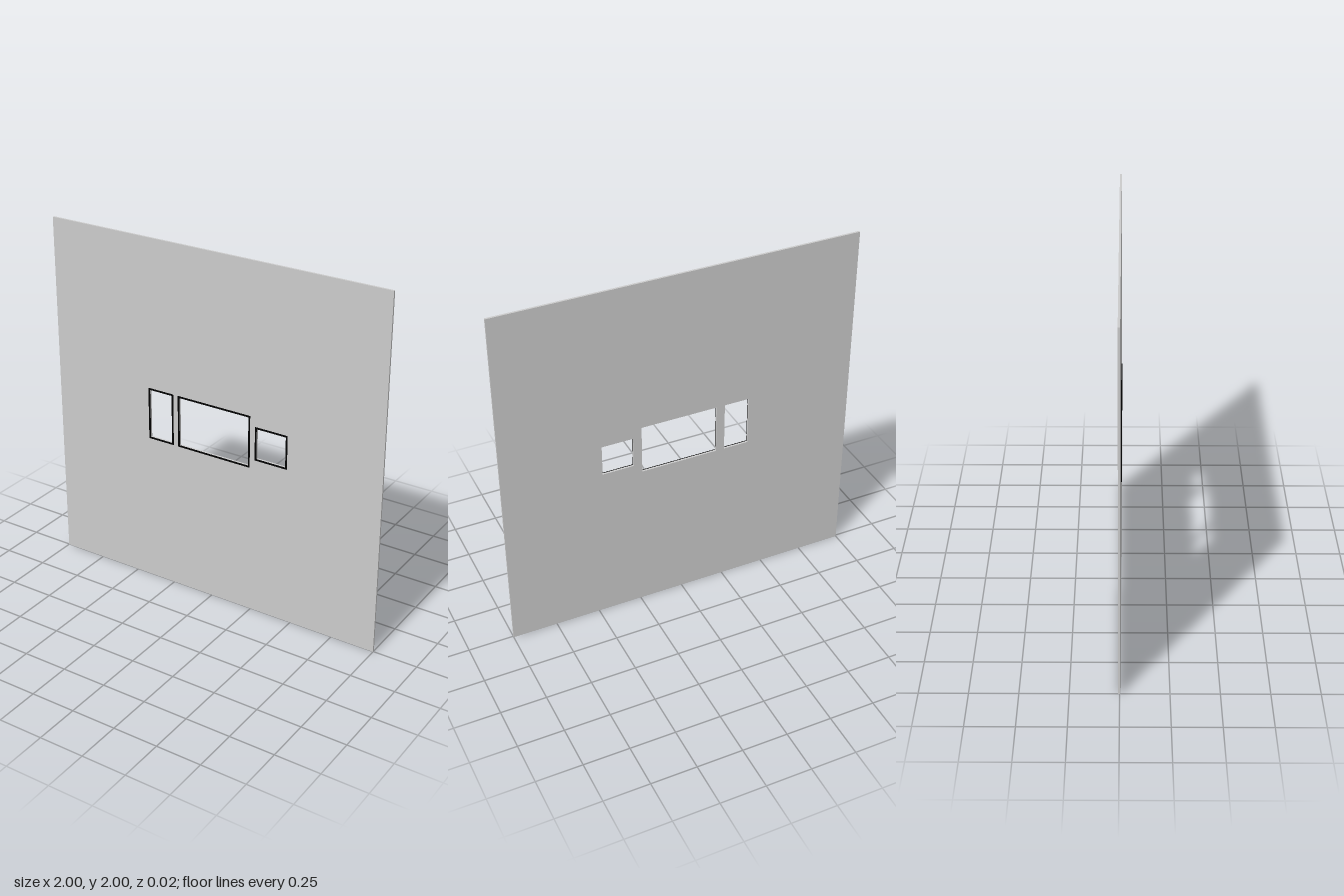
import * as THREE from 'three';

const PANEL = { back: -0.008, front: 0.003 };
const TRIM_FRONT = 0.008;
const TRIM_WIDTH = 0.008;

// Outer extents of each window trim
const WINDOWS = [
  { name: 'rightWindowTrim', x0: -0.4, x1: -0.243, y0: 0.864, y1: 1.16 },
  { name: 'middleWindowTrim', x0: -0.212, x1: 0.234, y0: 0.864, y1: 1.16 },
  { name: 'leftWindowTrim', x0: 0.266, x1: 0.457, y0: 0.916, y1: 1.106 },
];

function trace(path, { x0, x1, y0, y1 }, inset = 0) {
  path.moveTo(x0 + inset, y0 + inset);
  path.lineTo(x1 - inset, y0 + inset);
  path.lineTo(x1 - inset, y1 - inset);
  path.lineTo(x0 + inset, y1 - inset);
  path.closePath();
  return path;
}

// Rectangular slab between two z planes, with rectangular openings
function slab(name, outline, openings, zBack, zFront, material) {
  const shape = trace(new THREE.Shape(), outline);
  for (const o of openings) shape.holes.push(trace(new THREE.Path(), o, TRIM_WIDTH));
  const geometry = new THREE.ExtrudeGeometry(shape, { depth: zFront - zBack, bevelEnabled: false });
  geometry.translate(0, 0, zBack);
  const mesh = new THREE.Mesh(geometry, material);
  mesh.name = name;
  return mesh;
}

export function createModel() {
  const group = new THREE.Group();
  group.name = 'wallWithWindows';
  const wallMaterial = new THREE.MeshStandardMaterial({ color: 0xcccccc });
  const trimMaterial = new THREE.MeshStandardMaterial({ color: 0x000000 });

  // Thin square wall with three window openings
  const wall = { x0: -1, x1: 1, y0: 0, y1: 2 };
  group.add(slab('wall', wall, WINDOWS, PANEL.back, PANEL.front, wallMaterial));

  // Black trim standing proud of the wall around each opening
  for (const w of WINDOWS) {
    group.add(slab(w.name, w, [w], PANEL.front, TRIM_FRONT, trimMaterial));
  }
  return group;
}
